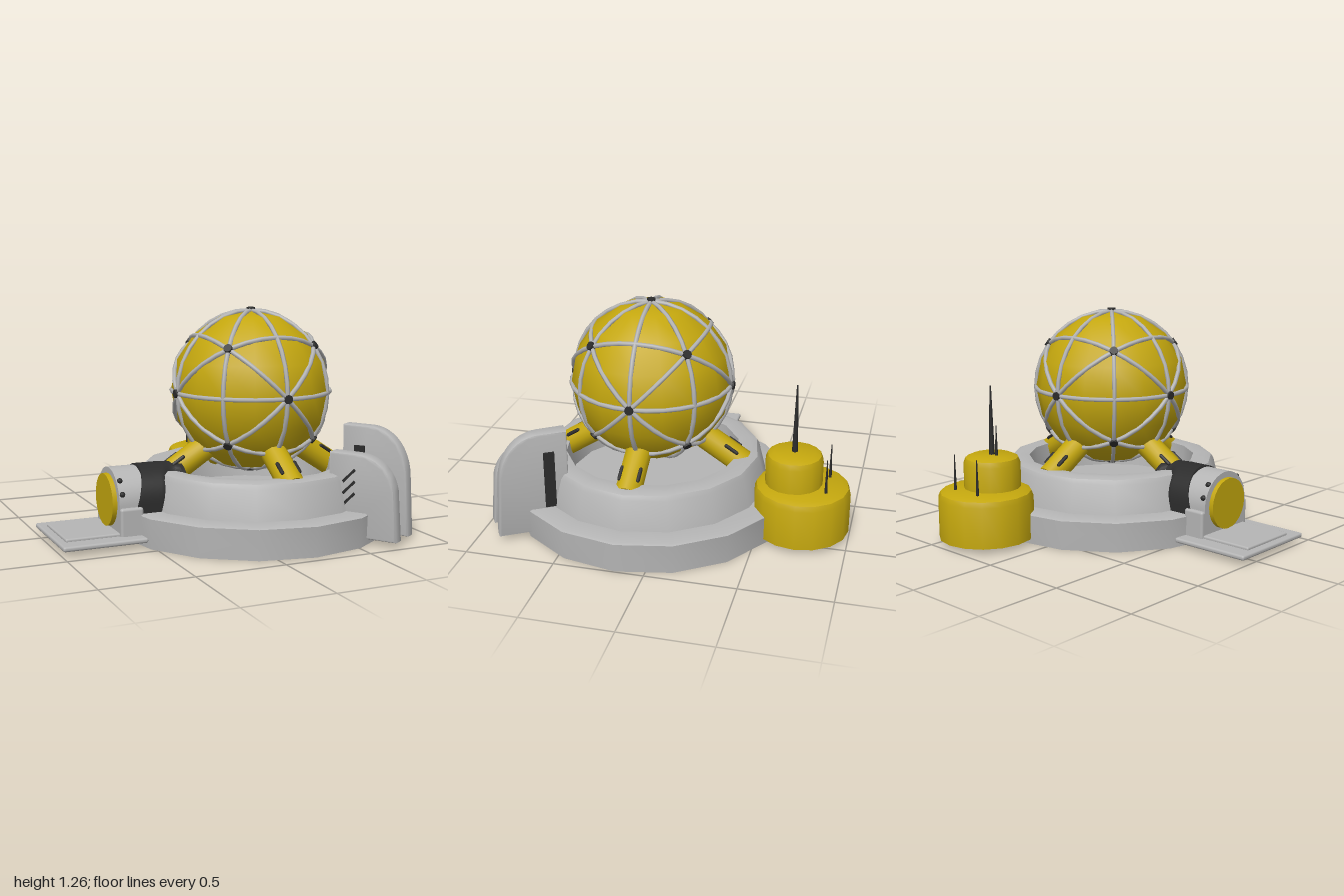
import * as THREE from 'three';
import { toCreasedNormals } from 'three/addons/utils/BufferGeometryUtils.js';
import { RoundedBoxGeometry } from 'three/addons/geometries/RoundedBoxGeometry.js';

const mat = (name, color) => Object.assign(new THREE.MeshStandardMaterial({ color }), { name });
const CX = 0.205, CZ = 0.16;
const V = (x, y, z) => new THREE.Vector3(x, y, z);

export function createModel() {
  const model = new THREE.Group();
  model.name = 'domeStation';
  const grey = mat('lightGrey', 0xb5b5b5);
  const yellow = mat('yellow', 0xc4a70e);
  const dark = mat('charcoal', 0x2c2c2c);

  const add = (name, geo, material, x = 0, y = 0, z = 0, parent = model) => {
    const m = new THREE.Mesh(geo, material);
    m.name = name;
    m.position.set(x, y, z);
    parent.add(m);
    return m;
  };
  const lathe = (pts, sides = 16) => toCreasedNormals(
    new THREE.LatheGeometry(pts.map(p => new THREE.Vector2(...p)), sides), 0.6);
  const aim = (mesh, from, to) => mesh.quaternion.setFromUnitVectors(from, to.clone().normalize());

  // Stepped round base with an open collar
  add('base', lathe([[0, 0], [0.79, 0], [0.795, 0.165], [0.78, 0.172], [0.665, 0.172], [0.625, 0.335],
    [0.61, 0.36], [0.575, 0.372], [0.5, 0.365], [0.48, 0.18], [0, 0.18]]), grey, CX, 0, CZ);

  // Ball with its lattice of nine great circles
  const ball = new THREE.Group();
  ball.name = 'ball';
  ball.position.set(CX, 0.785, CZ);
  model.add(ball);
  const R = 0.455;
  add('ballShell', new THREE.SphereGeometry(R, 16, 8), yellow, 0, 0, 0, ball);
  const normals = [[1, 0, 0], [0, 1, 0], [0, 0, 1], [1, 1, 0], [1, -1, 0], [1, 0, 1], [1, 0, -1], [0, 1, 1], [0, 1, -1]];
  const ringGeo = new THREE.TorusGeometry(R - 0.002, 0.013, 6, 32);
  for (const n of normals) aim(add('latticeRing', ringGeo, grey, 0, 0, 0, ball), V(0, 0, 1), V(...n));

  // Dark caps where the lattice crosses
  const capGeo = new THREE.CylinderGeometry(0.024, 0.027, 0.026, 10);
  const cap = d => {
    const p = d.clone().setLength(R + 0.003);
    aim(add('latticeCap', capGeo, dark, p.x, p.y, p.z, ball), V(0, 1, 0), d);
  };
  for (const s of [-1, 1]) {
    cap(V(s, 0, 0)); cap(V(0, s, 0)); cap(V(0, 0, s));
    for (const t of [-1, 1]) for (const u of [-1, 1]) cap(V(s, t, u));
  }

  // Four sloping legs, each with two dark slots
  const legDir = V(0, -0.54, 0.84);
  for (let i = 0; i < 4; i++) {
    const leg = new THREE.Group();
    leg.name = 'leg';
    leg.position.set(CX, 0, CZ);
    leg.rotation.y = i * Math.PI / 2;
    model.add(leg);
    const c = V(0, 0.425, 0.36);
    const tube = toCreasedNormals(new THREE.CylinderGeometry(0.073, 0.073, 0.4, 12), 0.7);
    aim(add('legTube', tube, yellow, c.x, c.y, c.z, leg), V(0, 1, 0), legDir);
    for (const s of [-1, 1])
      aim(add('legSlot', new THREE.CapsuleGeometry(0.011, 0.07, 3, 8), dark, s * 0.052, 0.415, 0.47, leg), V(0, 1, 0), legDir);
  }

  // Two-tier tank with masts
  const tank = new THREE.Group();
  tank.name = 'tank';
  tank.position.set(0.34, 0, -0.73);
  model.add(tank);
  const tier = (r, y0, y1) => lathe([[0, y0], [r, y0], [r, y1 - 0.045], [r - 0.012, y1 - 0.015], [r - 0.045, y1], [0, y1]]);
  add('tankLower', tier(0.267, 0.03, 0.305), yellow, 0, 0, 0, tank);
  add('tankUpper', tier(0.16, 0.28, 0.49), yellow, 0, 0, 0.05, tank);
  for (const [x, z, y0, h, r] of [[0, 0.05, 0.48, 0.4, 0.017], [-0.04, 0.05, 0.48, 0.18, 0.009],
    [-0.095, -0.14, 0.29, 0.215, 0.009], [0.095, -0.14, 0.29, 0.215, 0.009]])
    add('mast', new THREE.CylinderGeometry(r * 0.25, r, h, 8), dark, x, y0 + h / 2, z, tank);

  // Arch-shaped block running toward -x from x0
  const arch = (half, bottom, depth, steps) => {
    const s = new THREE.Shape();
    s.moveTo(-half, bottom);
    s.lineTo(half, bottom);
    s.lineTo(half, 0.22);
    s.absarc(0, 0.22, half, 0, Math.PI, false);
    const g = new THREE.ExtrudeGeometry(s, { depth, steps, bevelEnabled: false, curveSegments: 16 });
    return g.rotateY(-Math.PI / 2);
  };

  // Airlock with round door and bolts
  add('airlock', toCreasedNormals(arch(0.183, 0.04, 0.15, 1), 0.6), grey, -0.51, 0, 0.165);
  add('airlockSill', new RoundedBoxGeometry(0.13, 0.17, 0.41, 2, 0.015), grey, -0.595, 0.125, 0.165);
  add('door', new THREE.CylinderGeometry(0.145, 0.145, 0.03, 24), yellow, -0.671, 0.225, 0.165).rotation.z = Math.PI / 2;
  for (const deg of [20, 45, 135, 160]) {
    const a = deg * Math.PI / 180;
    add('bolt', new THREE.SphereGeometry(0.016, 8, 6), dark, -0.64, 0.22 + 0.183 * Math.sin(a), 0.165 + 0.183 * Math.cos(a));
  }

  // Dark tunnel: pinched in the middle, outer edge leaning inward
  const tunnel = arch(0.19, 0.17, 0.32, 12);
  const p = tunnel.attributes.position;
  for (let i = 0; i < p.count; i++) {
    const t = -p.getX(i) / 0.32;
    const pinch = 1 - 0.3 * THREE.MathUtils.smoothstep(t, 0.08, 0.18) * (1 - THREE.MathUtils.smoothstep(t, 0.3, 0.48));
    p.setX(i, p.getX(i) + t * (p.getY(i) - 0.17) * 0.3);
    p.setZ(i, p.getZ(i) * pinch);
  }
  add('tunnel', toCreasedNormals(tunnel, 0.6), dark, -0.25, 0, 0.165);

  // Landing platform with a raised pad
  add('platform', new RoundedBoxGeometry(0.47, 0.028, 0.56, 2, 0.012), grey, -0.765, 0.044, 0.16);
  add('platformPad', new RoundedBoxGeometry(0.36, 0.024, 0.37, 2, 0.01), grey, -0.78, 0.062, 0.16);

  // Curved fins, tapering outward
  const fin = (x, z, angle, top, width) => {
    const g = new THREE.Group();
    g.name = 'fin';
    g.position.set(x, 0, z);
    g.rotation.y = -angle;
    model.add(g);
    const b = 0.012;
    const s = new THREE.Shape();
    s.moveTo(b, 0.03 + b);
    s.lineTo(0.385, 0.03 + b);
    s.lineTo(0.365, top * 0.62);
    s.bezierCurveTo(0.345, top * 0.86, 0.25, top - b, 0.15, top - b);
    s.lineTo(b, top - b);
    const geo = new THREE.ExtrudeGeometry(s, { depth: width - 2 * b, bevelThickness: b, bevelSize: b, bevelSegments: 2, curveSegments: 10 });
    geo.translate(0, 0, b - width / 2);
    const q = geo.attributes.position;
    for (let i = 0; i < q.count; i++) q.setZ(i, q.getZ(i) * (1 - 0.6 * q.getX(i)));
    add('finBody', toCreasedNormals(geo, 0.7), grey, 0, 0, 0, g);
    return g;
  };
  const finA = fin(0.483, 0.63, 1.0, 0.49, 0.105);
  const finB = fin(0.617, 0.543, 1.0, 0.62, 0.095);

  // Dark vent through the tall fin, slanted slats on the low one
  add('finVent', new THREE.BoxGeometry(0.06, 0.33, 0.11), dark, 0.105, 0.345, 0, finB);
  for (let i = 0; i < 3; i++)
    add('finSlat', new THREE.BoxGeometry(0.1, 0.014, 0.105), dark, 0.12, 0.24 + i * 0.065, 0, finA).rotation.z = 0.8;

  return model;
}
